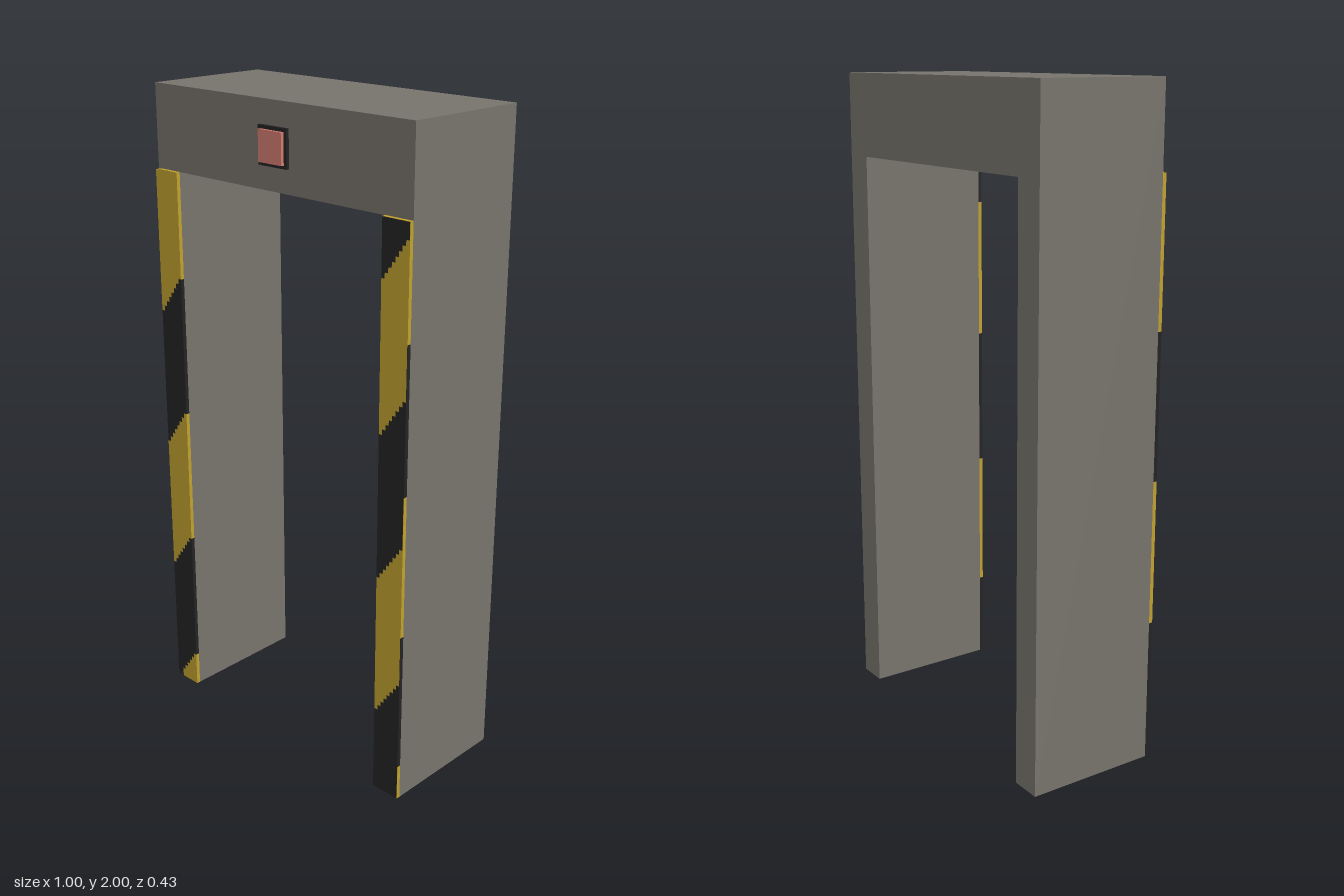
import * as THREE from 'three';

const mat = (name, color) => new THREE.MeshStandardMaterial({ name, color });

export function createModel() {
  const grey = mat('frame grey', 0x77736c);
  const yellow = mat('hazard yellow', 0xc0a02e);
  const black = mat('hazard black', 0x232323);
  const red = mat('lamp red', 0xd07a6e);

  const model = new THREE.Group();
  model.name = 'gateway';

  const W = 0.5, INNER = 0.405, LINTEL = 1.75, BACK = -0.215, FRONT = 0.195, PAD = 0.012;

  // Box given by its minimum and maximum corners
  function box(parent, name, material, a, b) {
    const mesh = new THREE.Mesh(new THREE.BoxGeometry(b[0] - a[0], b[1] - a[1], b[2] - a[2]), material);
    mesh.position.set((a[0] + b[0]) / 2, (a[1] + b[1]) / 2, (a[2] + b[2]) / 2);
    mesh.name = name;
    parent.add(mesh);
  }

  // Door-shaped frame: two legs and a lintel in one piece
  const outline = new THREE.Shape([
    [-W, 0], [-INNER, 0], [-INNER, LINTEL], [INNER, LINTEL],
    [INNER, 0], [W, 0], [W, 2], [-W, 2],
  ].map(p => new THREE.Vector2(...p)));
  const frame = new THREE.Mesh(
    new THREE.ExtrudeGeometry(outline, { depth: FRONT - BACK, bevelEnabled: false }), grey);
  frame.position.z = BACK;
  frame.name = 'frame';
  model.add(frame);

  // Hazard strips: diagonal bands with stair-stepped edges
  const STEPS = 8, RISE = 0.115, BAND = 0.4375;
  const clampY = y => Math.min(LINTEL, Math.max(0, y));

  function hazardStrip(name, x0, x1, start, firstMaterial) {
    const group = new THREE.Group();
    group.name = name;
    const dx = (x1 - x0) / STEPS;
    for (let k = 0; start + k * BAND < LINTEL; k++) {
      const low = [], high = [];
      for (let i = 0; i < STEPS; i++) {
        const y = start + k * BAND + (RISE * i) / (STEPS - 1);
        const y0 = clampY(y), y1 = clampY(y + BAND);
        if (y1 - y0 < 0.02) continue;
        const xa = x0 + i * dx, xb = xa + dx;
        low.push(new THREE.Vector2(xa, y0), new THREE.Vector2(xb, y0));
        high.unshift(new THREE.Vector2(xb, y1), new THREE.Vector2(xa, y1));
      }
      if (!low.length) continue;
      const material = k % 2 === 0 ? firstMaterial : firstMaterial === yellow ? black : yellow;
      const band = new THREE.Mesh(new THREE.ExtrudeGeometry(
        new THREE.Shape([...low, ...high]), { depth: PAD, bevelEnabled: false }), material);
      band.position.z = FRONT;
      band.name = 'hazardBand';
      group.add(band);
    }
    model.add(group);
    return group;
  }

  hazardStrip('rightHazardStrip', -W, -INNER, -0.0025 - BAND, yellow);
  const left = hazardStrip('leftHazardStrip', INNER, W - 0.001, 0.275 - 2 * BAND, yellow);

  // Banded outer edge and yellow top edge of the left strip
  const cuts = [0, 0.1125, 0.55, 0.9875, 1.425, LINTEL];
  for (let i = 0; i < cuts.length - 1; i++) {
    box(left, 'stripEdge', i % 2 ? black : yellow,
      [W - 0.001, cuts[i], FRONT], [W, cuts[i + 1], FRONT + PAD]);
  }
  box(left, 'stripTop', yellow, [INNER, LINTEL, FRONT], [W, LINTEL + 0.001, FRONT + PAD]);

  // Signal lamp on the lintel
  const lamp = new THREE.Group();
  lamp.name = 'signalLamp';
  box(lamp, 'lampSurround', black, [-0.055, 1.82, FRONT], [0.055, 1.93, 0.205]);
  box(lamp, 'lampPanel', red, [-0.045, 1.83, 0.205], [0.045, 1.92, 0.215]);
  model.add(lamp);

  return model;
}
